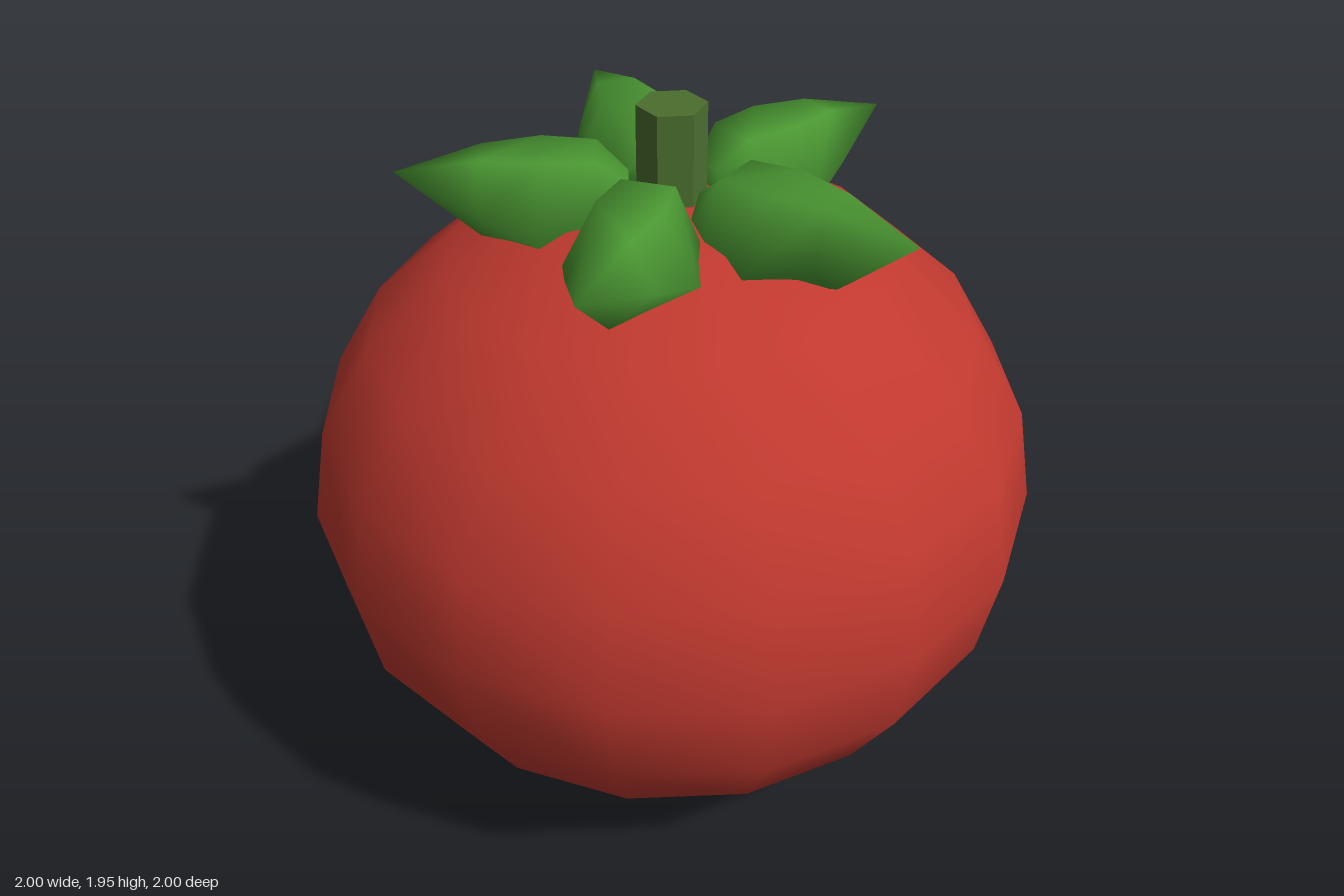
import * as THREE from 'three';

const red = new THREE.MeshStandardMaterial({ name: 'fruitRed', color: 0xc0392f });
const green = new THREE.MeshStandardMaterial({ name: 'leafGreen', color: 0x4a9632 });
const darkGreen = new THREE.MeshStandardMaterial({ name: 'stemGreen', color: 0x4b6e2f });

// Leaf cross-sections along +x: [x, half width, top y, side y, bottom y]
const SECTIONS = [
  [0.11, 0.08, 1.76, 1.69, 1.62],
  [0.19, 0.145, 1.83, 1.66, 1.56],
  [0.33, 0.175, 1.835, 1.65, 1.53],
  [0.48, 0.11, 1.828, 1.70, 1.585],
];

// Plump five-sided leaf, blunt at the stem and pointed at the tip
function leafGeometry() {
  const pos = [], index = [];
  for (const [x, w, top, side, bottom] of SECTIONS) {
    pos.push(x, top, -w * 0.48, x, top, w * 0.48, x, side, w, x, bottom, 0, x, side, -w);
  }
  const last = (SECTIONS.length - 1) * 5;
  const tip = SECTIONS.length * 5;
  pos.push(0.7, 1.775, 0, 0.11, 1.69, 0);
  for (let j = 0; j < 5; j++) {
    const k = (j + 1) % 5;
    for (let r = 0; r < last; r += 5) {
      index.push(r + j, r + k, r + 5 + j, r + k, r + 5 + k, r + 5 + j);
    }
    index.push(last + j, last + k, tip);
    index.push(tip + 1, k, j);
  }
  const geo = new THREE.BufferGeometry();
  geo.setAttribute('position', new THREE.Float32BufferAttribute(pos, 3));
  geo.setIndex(index);
  geo.computeVertexNormals();
  return geo;
}

export function createModel() {
  const model = new THREE.Group();
  model.name = 'tomato';

  // Squashed round fruit
  const fruitGeo = new THREE.SphereGeometry(1, 16, 10);
  fruitGeo.scale(1, 0.86, 1);
  const fruit = new THREE.Mesh(fruitGeo, red);
  fruit.name = 'fruit';
  fruit.position.y = 0.862;
  model.add(fruit);

  // Ring of five leaves
  const leaves = new THREE.Group();
  leaves.name = 'leaves';
  const leafGeo = leafGeometry();
  for (let i = 0; i < 5; i++) {
    const leaf = new THREE.Mesh(leafGeo, green);
    leaf.name = 'leaf' + (i + 1);
    leaf.rotation.y = (i * Math.PI * 2) / 5;
    leaves.add(leaf);
  }
  model.add(leaves);

  // Hexagonal stem with flat sides
  const stemGeo = new THREE.CylinderGeometry(0.09, 0.09, 0.3, 6).toNonIndexed();
  stemGeo.computeVertexNormals();
  const stem = new THREE.Mesh(stemGeo, darkGreen);
  stem.name = 'stem';
  stem.position.y = 1.805;
  model.add(stem);

  return model;
}
